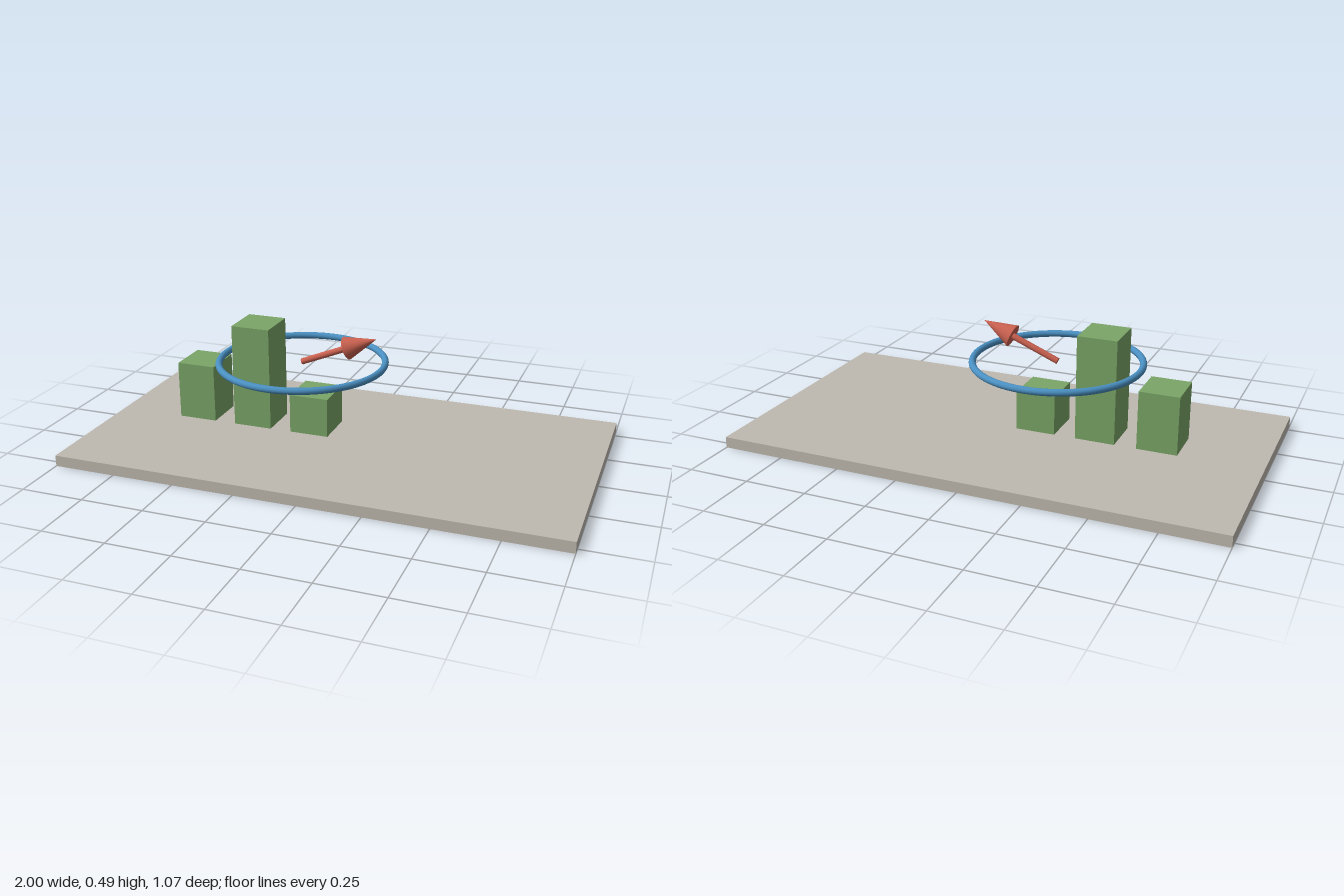
import * as THREE from 'three';

const material = (name, color) => {
  const m = new THREE.MeshStandardMaterial({ color });
  m.name = name;
  return m;
};

export function createModel() {
  const model = new THREE.Group();
  model.name = 'barDisplay';
  const stone = material('warm grey', 0xbfbab0);
  const green = material('leaf green', 0x7aa567);
  const blue = material('sky blue', 0x4a90c2);
  const red = material('brick red', 0xc8604f);

  const add = (parent, name, geometry, mat, x, y, z) => {
    const mesh = new THREE.Mesh(geometry, mat);
    mesh.name = name;
    mesh.position.set(x, y, z);
    parent.add(mesh);
    return mesh;
  };

  // Flat base slab
  add(model, 'base', new THREE.BoxGeometry(2, 0.044, 1.067), stone, 0, 0.022, 0);

  // Three bars floating just above the slab
  const bars = [['leftBar', -0.611, 0.311], ['middleBar', -0.367, 0.493], ['rightBar', -0.125, 0.236]];
  const barBottom = 0.08;
  for (const [name, x, top] of bars) {
    const height = top - barBottom;
    add(model, name, new THREE.BoxGeometry(0.157, height, 0.17), green, x, barBottom + height / 2, 0);
  }

  // Horizontal ring
  const center = { x: -0.182, y: 0.351 };
  add(model, 'ring', new THREE.TorusGeometry(0.328, 0.0135, 16, 96), blue, center.x, center.y, 0)
    .rotation.x = Math.PI / 2;

  // Arrow rising from the ring's centre towards +x
  const arrow = new THREE.Group();
  arrow.name = 'arrow';
  arrow.position.set(center.x, center.y, 0);
  arrow.rotation.z = THREE.MathUtils.degToRad(22.3) - Math.PI / 2;
  const shaftLength = 0.202, headLength = 0.13;
  add(arrow, 'arrowShaft', new THREE.CylinderGeometry(0.0125, 0.0125, shaftLength, 20), red, 0, shaftLength / 2, 0);
  add(arrow, 'arrowHead', new THREE.ConeGeometry(0.046, headLength, 24), red, 0, shaftLength + headLength / 2, 0);
  model.add(arrow);

  return model;
}
